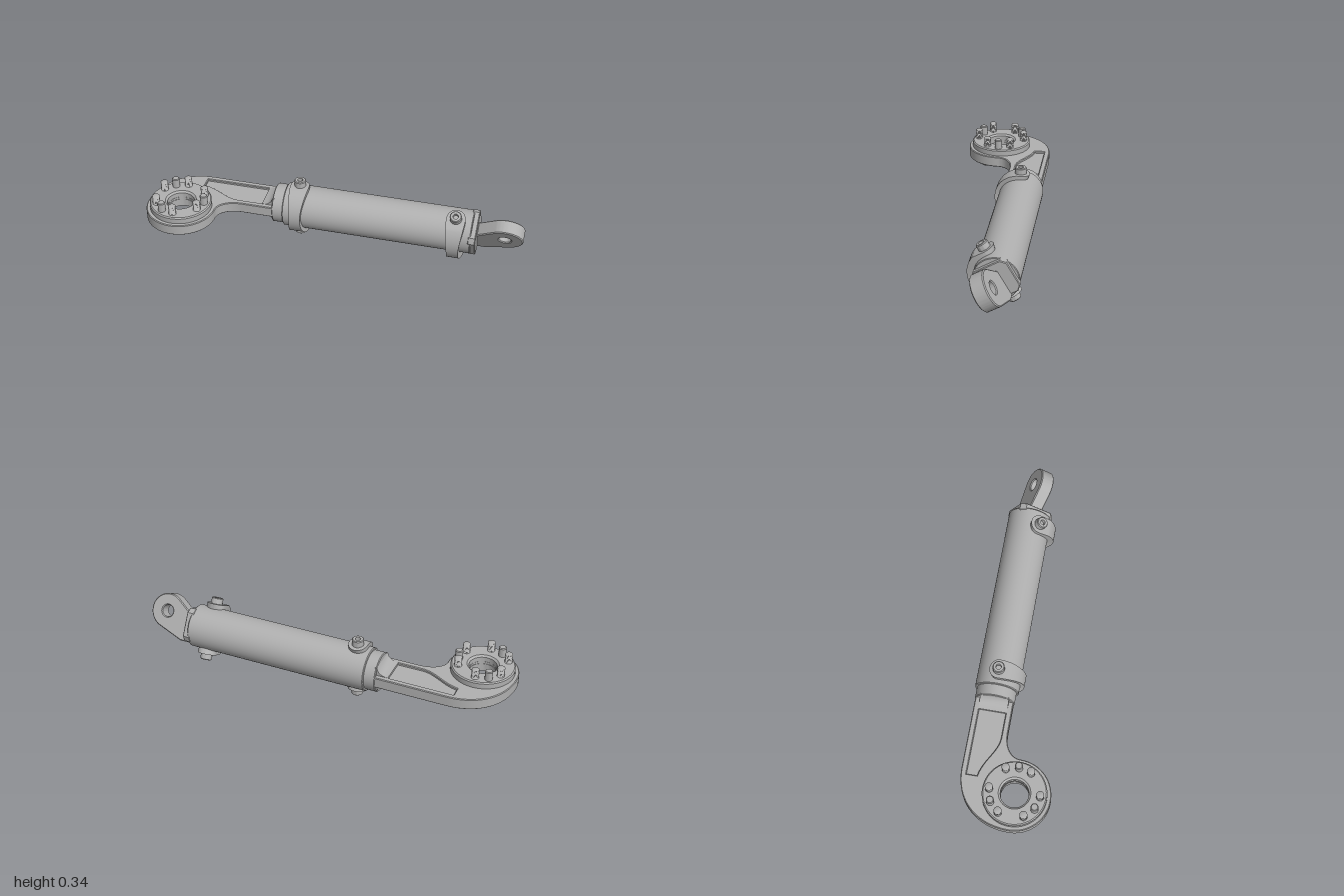
import * as THREE from 'three';
import { toCreasedNormals } from 'three/addons/utils/BufferGeometryUtils.js';

const AY = 0.17, AZ = -0.13; // cylinder axis
const RX = -0.815, RZ = 0.06; // mounting ring centre

export function createModel() {
  const model = new THREE.Group();
  const steel = new THREE.MeshStandardMaterial({ color: 0xb0b0b0 });
  steel.name = 'steel grey';

  const add = (name, geo, parent = model) => {
    const mesh = new THREE.Mesh(toCreasedNormals(geo, 0.6), steel);
    mesh.name = name;
    parent.add(mesh);
    return mesh;
  };
  const lathe = (pts, seg = 32) => new THREE.LatheGeometry(pts.map(p => new THREE.Vector2(...p)), seg);
  const extrude = (shape, depth, bevel = 0) => new THREE.ExtrudeGeometry(shape, {
    depth: depth - 2 * bevel, curveSegments: 24, bevelEnabled: bevel > 0,
    bevelThickness: bevel, bevelSize: bevel, bevelOffset: -bevel, bevelSegments: 1,
  }).translate(0, 0, bevel - depth / 2);
  const poly = pts => new THREE.Shape(pts.map(p => new THREE.Vector2(...p)));
  const circle = (x, y, r) => new THREE.Path().absarc(x, y, r, 0, Math.PI * 2, true);
  // pin with a socket in its end
  const socketPin = (r, y0, y1, socket, depth) => lathe([[0, y0], [r, y0], [r, y1 - 0.004],
    [r - 0.004, y1], [socket, y1], [socket, y1 - depth], [0, y1 - depth]]);

  // Main barrel, running along x
  add('barrel', lathe([[0, -0.28], [0.111, -0.28], [0.115, -0.276], [0.115, 0.728], [0.112, 0.732], [0, 0.732]], 64)
    .rotateZ(-Math.PI / 2).translate(0, AY, AZ));
  add('neck', lathe([[0, -0.34], [0.1, -0.34], [0.104, -0.336], [0.104, -0.27], [0, -0.27]], 48)
    .rotateZ(-Math.PI / 2).translate(0, AY, AZ));
  const web = poly([[-0.4, -0.03], [-0.37, -0.035], [-0.35, -0.05], [-0.34, -0.075],
    [-0.33, -0.075], [-0.33, 0.075], [-0.34, 0.075], [-0.35, 0.05], [-0.37, 0.035], [-0.4, 0.03]]);
  add('neckFillet', extrude(web, 0.15).translate(0, AY, AZ));

  // Curved arm: full-height rim with pockets over a thin core
  const outline = () => {
    const s = new THREE.Shape();
    s.moveTo(-0.33, -0.23);
    s.lineTo(-0.72, -0.23);
    s.bezierCurveTo(-0.9, -0.23, -1, -0.1, -1, RZ);
    s.absarc(RX, RZ, 0.185, Math.PI, 0, true);
    s.bezierCurveTo(-0.63, 0, -0.57, -0.03, -0.5, -0.03);
    s.lineTo(-0.33, -0.03);
    s.holes.push(circle(RX, RZ, 0.075));
    return s;
  };
  const rim = outline();
  const pocket = new THREE.Path();
  pocket.moveTo(-0.395, -0.2);
  pocket.lineTo(-0.395, -0.06);
  pocket.lineTo(-0.53, -0.06);
  pocket.bezierCurveTo(-0.61, -0.06, -0.66, -0.13, -0.75, -0.145);
  pocket.lineTo(-0.75, -0.2);
  rim.holes.push(pocket);
  const flat = g => g.rotateX(Math.PI / 2).translate(0, AY, 0);
  add('armRim', flat(extrude(rim, 0.06, 0.004)));
  add('armCore', flat(extrude(outline(), 0.034, 0.005)));

  // Mounting ring with six bolts and three dowels
  const ring = new THREE.Group();
  ring.name = 'mountingRing';
  ring.position.set(RX, 0, RZ);
  model.add(ring);
  add('ringPlate', lathe([[0.072, 0.142], [0.16, 0.142], [0.165, 0.2], [0.165, 0.229], [0.159, 0.235],
    [0.082, 0.235], [0.072, 0.226], [0.072, 0.142]], 64), ring);
  const thread = [[0, 0.2], [0.016, 0.2], [0.016, 0.235]];
  for (let i = 0; i < 8; i++) thread.push([0.02, 0.238 + i * 0.007], [0.016, 0.2415 + i * 0.007]);
  thread.push([0, 0.293]);
  for (let i = 0; i < 9; i++) {
    const bolt = i < 6;
    const a = bolt ? Math.PI / 6 + i * Math.PI / 3 : (i - 6) * Math.PI * 2 / 3;
    const at = m => m.position.set(0.13 * Math.cos(a), 0, 0.13 * Math.sin(a));
    if (bolt) {
      at(add('boltThread', lathe(thread, 20), ring));
      at(add('boltHead', socketPin(0.034, -0.15, -0.125, 0.015, 0.012).rotateX(Math.PI), ring));
    } else {
      at(add('dowel', lathe([[0, 0.2], [0.02, 0.2], [0.02, 0.283], [0.016, 0.287], [0, 0.287]], 20), ring));
    }
  }

  // Yoke strap wrapping the front of the barrel, rounded at both ends
  const strapGeometry = R => {
    const pos = [], idx = [], n = 64, end = Math.PI / 2 + 0.36;
    for (let i = 0; i <= n; i++) {
      const a = end * Math.sin((i / n - 0.5) * Math.PI); // denser at the ends
      const past = Math.abs(a) - Math.PI / 2;
      const t = Math.abs(a) / (Math.PI / 2);
      const w = past < 0 ? 0.03 + 0.02 * t * t * (3 - 2 * t)
        : 0.05 * Math.sqrt(Math.max(0, 1 - (past / 0.36) ** 2));
      const ro = Math.min(R, 0.137 / Math.abs(Math.sin(a) || 1e-6));
      for (const [x, r] of [[-w, ro], [w, ro], [w, 0.1], [-w, 0.1]])
        pos.push(x, r * Math.sin(a), r * Math.cos(a));
      if (i < n) for (let k = 0; k < 4; k++) {
        const p = i * 4 + k, q = i * 4 + (k + 1) % 4;
        idx.push(p, q, q + 4, p, q + 4, p + 4);
      }
    }
    const g = new THREE.BufferGeometry();
    g.setAttribute('position', new THREE.Float32BufferAttribute(pos, 3));
    g.setIndex(idx);
    g.computeVertexNormals();
    return g;
  };
  for (const [name, x, tilt, R] of [['innerYoke', -0.205, 0, 0.138], ['outerYoke', 0.645, Math.PI / 6, 0.15]]) {
    const yoke = new THREE.Group();
    yoke.name = name;
    yoke.position.set(x, AY, AZ);
    yoke.rotation.x = tilt;
    model.add(yoke);
    add('strap', strapGeometry(R), yoke);
    for (const turn of [0, Math.PI])
      add('trunnionPin', socketPin(0.031, 0.1, 0.17, 0.014, 0.02).rotateX(turn), yoke);
  }

  // Tilted end cap and eye lug
  const endFitting = new THREE.Group();
  endFitting.name = 'endFitting';
  endFitting.position.set(0, AY, AZ);
  endFitting.rotation.x = Math.PI / 6;
  model.add(endFitting);
  const c = 0.025, hw = 0.1, hh = 0.09;
  const cap = poly([[-hw + c, -hh], [hw - c, -hh], [hw, -hh + c], [hw, hh - c],
    [hw - c, hh], [-hw + c, hh], [-hw, hh - c], [-hw, -hh + c]]);
  add('endCap', extrude(cap, 0.04, 0.004).rotateY(Math.PI / 2).translate(0.738, 0, 0), endFitting);
  const lug = new THREE.Shape();
  lug.moveTo(0.74, -0.1);
  lug.lineTo(0.8, -0.1);
  lug.absarc(0.905, 0.04, 0.095, -70 * Math.PI / 180, 125 * Math.PI / 180, false);
  lug.lineTo(0.76, 0.05);
  lug.lineTo(0.74, 0.05);
  lug.holes.push(circle(0.905, 0.04, 0.032));
  add('eyeLug', extrude(lug, 0.075, 0.005), endFitting);

  return model;
}
